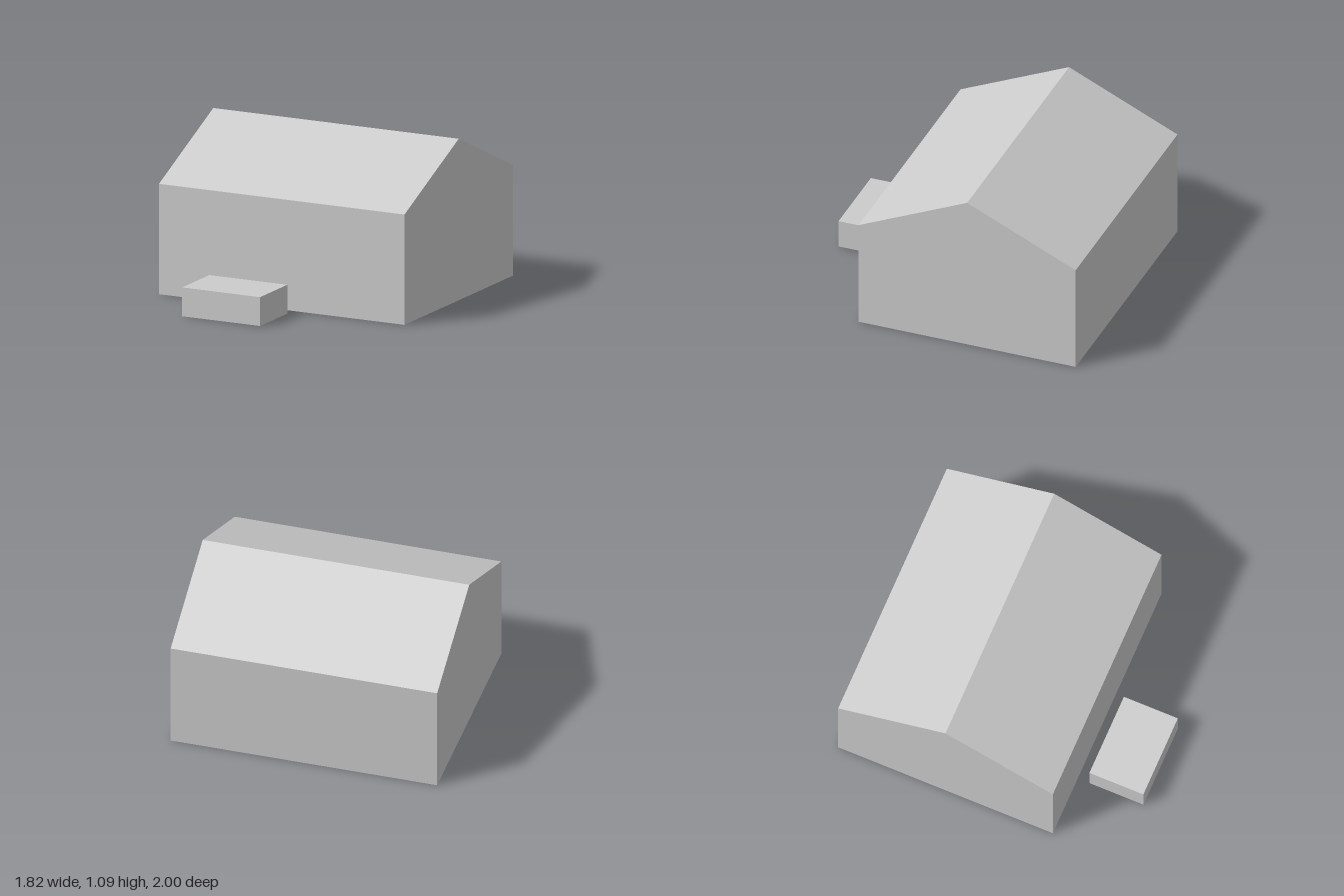
import * as THREE from 'three';

// Mesh from a list of convex polygons, each a counter-clockwise loop of [x, y, z]
function faces(name, polygons, material) {
  const points = [];
  for (const loop of polygons) {
    for (let i = 1; i < loop.length - 1; i++) points.push(...loop[0], ...loop[i], ...loop[i + 1]);
  }
  const geometry = new THREE.BufferGeometry();
  geometry.setAttribute('position', new THREE.Float32BufferAttribute(points, 3));
  geometry.computeVertexNormals();
  const mesh = new THREE.Mesh(geometry, material);
  mesh.name = name;
  return mesh;
}

// Hollow building, open underneath: a [z, y] profile running front to back, swept from x0 to x1
function building(name, profile, x0, x1, material) {
  const group = new THREE.Group();
  group.name = name;
  const at = (x) => ([z, y]) => [x, y, z];
  const left = profile.map(at(x0));
  const right = profile.map(at(x1));
  const strips = [];
  for (let i = 0; i < profile.length - 1; i++) {
    strips.push([left[i], right[i], right[i + 1], left[i + 1]]);
  }
  const sides = [strips[0], strips[strips.length - 1]];
  group.add(
    faces(name + 'LongWalls', sides, material),
    faces(name + 'EndWalls', [left, [...right].reverse()], material),
    faces(name + 'Roof', strips.slice(1, -1), material),
  );
  return group;
}

export function createModel() {
  const grey = new THREE.MeshStandardMaterial({ color: 0xcccccc });
  grey.name = 'light grey';
  grey.side = THREE.DoubleSide;

  const model = new THREE.Group();
  model.name = 'houseWithShed';

  // Main house with a gabled roof, ridge along x
  const house = [[0.532, 0], [0.532, 0.746], [-0.234, 1.092], [-1, 0.746], [-1, 0]];
  model.add(building('house', house, -0.91, 0.91, grey));

  // Small flat-roofed block in front
  const shed = [[1, 0], [1, 0.195], [0.615, 0.195], [0.615, 0]];
  model.add(building('shed', shed, -0.493, 0.085, grey));

  return model;
}
